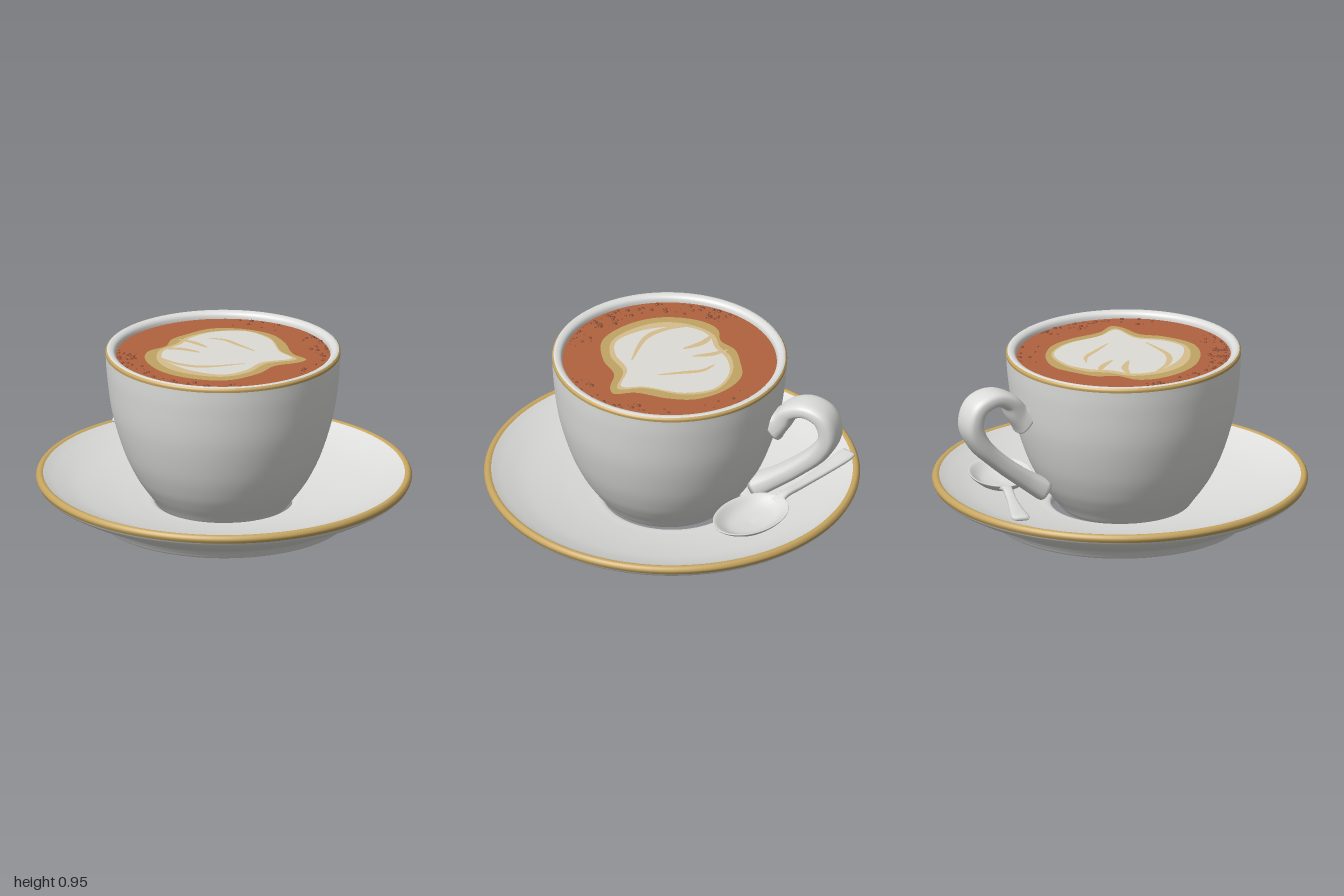
import * as THREE from 'three';
import { mergeGeometries } from 'three/addons/utils/BufferGeometryUtils.js';

const mat = (name, color) => Object.assign(new THREE.MeshStandardMaterial({ color }), { name });

// Smooth curve through [radius, y] points, turned about the y axis
function turned(points, divisions = 40) {
  const curve = new THREE.SplineCurve(points.map(([x, y]) => new THREE.Vector2(x, y)));
  return new THREE.LatheGeometry(curve.getPoints(divisions), 96);
}

// Rounded bar swept along [z, y, halfWidth, halfThickness] stations
function sweep(stations, steps = 60, sides = 24) {
  const path = new THREE.CatmullRomCurve3(stations.map(([z, y]) => new THREE.Vector3(0, y, z)));
  const size = new THREE.CatmullRomCurve3(stations.map(([, , w, t]) => new THREE.Vector3(w, t, 0)));
  const across = new THREE.Vector3(1, 0, 0);
  const pos = [], idx = [];
  const soft = (v) => Math.sign(v) * Math.abs(v) ** 0.7;
  for (let i = 0; i <= steps; i++) {
    const u = i / steps, p = path.getPoint(u), s = size.getPoint(u);
    const n = across.clone().cross(path.getTangent(u));
    for (let k = 0; k < sides; k++) {
      const a = (k / sides) * Math.PI * 2;
      const q = p.clone().addScaledVector(across, s.x * soft(Math.cos(a))).addScaledVector(n, s.y * soft(Math.sin(a)));
      pos.push(q.x, q.y, q.z);
    }
  }
  const last = steps * sides, c0 = (steps + 1) * sides;
  for (const u of [0, 1]) pos.push(...path.getPoint(u).toArray());
  for (let k = 0; k < sides; k++) {
    const k1 = (k + 1) % sides;
    for (let i = 0; i < steps; i++) {
      const a = i * sides + k, b = i * sides + k1;
      idx.push(a, a + sides, b, b, a + sides, b + sides);
    }
    idx.push(c0, k, k1, c0 + 1, last + k1, last + k);
  }
  const g = new THREE.BufferGeometry();
  g.setAttribute('position', new THREE.Float32BufferAttribute(pos, 3));
  g.setIndex(idx);
  g.computeVertexNormals();
  return g;
}

// Flat horizontal plate with a smooth closed outline of [x, z] points
function plate(points) {
  const c = new THREE.CatmullRomCurve3(points.map(([x, z]) => new THREE.Vector3(x, -z, 0)), true);
  const outline = c.getPoints(120).slice(0, -1).map((p) => new THREE.Vector2(p.x, p.y));
  return new THREE.ShapeGeometry(new THREE.Shape(outline)).rotateX(-Math.PI / 2);
}

// Flat stroke along [x, z] points, tapering to both ends
function stroke(points, halfWidth) {
  const c = new THREE.SplineCurve(points.map(([x, z]) => new THREE.Vector2(x, -z)));
  const left = [], right = [];
  for (let i = 0; i <= 24; i++) {
    const u = i / 24, p = c.getPoint(u), t = c.getTangent(u);
    const w = halfWidth * (0.2 + 0.8 * Math.sin(u * Math.PI));
    left.push(new THREE.Vector2(p.x - t.y * w, p.y + t.x * w));
    right.unshift(new THREE.Vector2(p.x + t.y * w, p.y - t.x * w));
  }
  return new THREE.ShapeGeometry(new THREE.Shape([...left, ...right])).rotateX(-Math.PI / 2);
}

export function createModel() {
  const ceramic = mat('ceramic', 0xdcdcda);
  const gold = mat('gold', 0xc6a560);
  const coffee = mat('coffee', 0xb0623f);
  const bubble = mat('bubble', 0x8a4c33);
  const ochre = mat('ochre foam', 0xc0a463);
  const beige = mat('beige foam', 0xd6bd8c);
  const milk = mat('milk foam', 0xdddbd6);

  const model = new THREE.Group();
  const add = (parent, name, geometry, material, y = 0) => {
    const m = new THREE.Mesh(geometry, material);
    m.name = name;
    m.position.y = y;
    parent.add(m);
    return m;
  };
  const group = (name) => {
    const g = new THREE.Group();
    g.name = name;
    model.add(g);
    return g;
  };

  // Saucer with a foot ring and an open well in the middle
  const saucer = group('saucer');
  add(saucer, 'saucerUnderside', turned([[0.36, 0.06], [0.37, 0.04], [0.4, 0.025], [0.45, 0.018], [0.62, 0.015],
    [0.64, 0.003], [0.665, 0.003], [0.685, 0.03], [0.71, 0.057], [0.78, 0.09], [0.9, 0.145], [0.97, 0.185], [0.987, 0.205]], 70), ceramic);
  add(saucer, 'saucerGoldRim', turned([[0.987, 0.205], [0.995, 0.225], [0.985, 0.243], [0.97, 0.247], [0.957, 0.242]], 16), gold);
  add(saucer, 'saucerTop', turned([[0.957, 0.242], [0.9, 0.215], [0.78, 0.172], [0.6, 0.13], [0.45, 0.105],
    [0.385, 0.097], [0.365, 0.085], [0.36, 0.06]]), ceramic);

  // Cup, leaning very slightly back
  const cup = group('cup');
  cup.position.set(-0.008, 0, 0.027);
  cup.rotation.x = -0.011;
  add(cup, 'cupBase', new THREE.CircleGeometry(0.335, 96).rotateX(Math.PI / 2), ceramic, 0.075);
  add(cup, 'cupBody', turned([[0.335, 0.075], [0.35, 0.09], [0.375, 0.125], [0.42, 0.185], [0.47, 0.265], [0.53, 0.4],
    [0.587, 0.6], [0.614, 0.8], [0.621, 0.918]], 50), ceramic);
  add(cup, 'cupGoldRim', turned([[0.621, 0.918], [0.622, 0.932], [0.614, 0.942]], 10), gold);
  add(cup, 'cupLip', turned([[0.614, 0.942], [0.6, 0.945], [0.58, 0.938], [0.569, 0.92], [0.566, 0.88]], 20), ceramic);

  // Looped handle at the back
  const handle = add(cup, 'cupHandle', sweep([
    [-0.57, 0.66, 0.085, 0.09], [-0.625, 0.705, 0.075, 0.06], [-0.675, 0.775, 0.08, 0.045], [-0.77, 0.812, 0.086, 0.044],
    [-0.865, 0.775, 0.088, 0.05], [-0.897, 0.675, 0.086, 0.054], [-0.85, 0.565, 0.082, 0.052], [-0.74, 0.45, 0.076, 0.048],
    [-0.6, 0.335, 0.075, 0.05], [-0.48, 0.25, 0.085, 0.06]]), ceramic);
  handle.position.set(-0.006, 0, -0.02);

  // Coffee surface
  const drink = group('drink');
  drink.position.set(-0.006, 0.908, 0.016);
  drink.rotation.x = -0.011;
  add(drink, 'coffeeSurface', new THREE.CircleGeometry(0.569, 96).rotateX(-Math.PI / 2), coffee);

  // Leaf-shaped foam pattern in thin layers
  add(drink, 'foamBorder', plate([[0, -0.41], [0.16, -0.38], [0.3, -0.27], [0.35, -0.13], [0.365, 0.05], [0.42, 0.15],
    [0.37, 0.19], [0.24, 0.22], [0.14, 0.32], [-0.04, 0.4], [-0.23, 0.34], [-0.37, 0.2], [-0.42, 0], [-0.38, -0.12],
    [-0.28, -0.18], [-0.23, -0.28], [-0.13, -0.35]]), ochre, 0.003);
  add(drink, 'foamHalo', plate([[0, -0.355], [0.18, -0.335], [0.285, -0.2], [0.31, 0.02], [0.37, 0.145], [0.2, 0.185],
    [0.09, 0.3], [-0.05, 0.35], [-0.21, 0.29], [-0.32, 0.18], [-0.36, 0.03], [-0.32, -0.12], [-0.22, -0.2], [-0.15, -0.29]]), beige, 0.006);
  add(drink, 'foamLeaf', plate([[0, -0.34], [0.17, -0.325], [0.275, -0.19], [0.3, 0.02], [0.345, 0.135], [0.18, 0.17],
    [0.07, 0.28], [-0.05, 0.325], [-0.18, 0.26], [-0.27, 0.16], [-0.33, 0.01], [-0.3, -0.1], [-0.2, -0.18], [-0.13, -0.27]]), milk, 0.009);
  const strokes = [
    [[[-0.04, -0.24], [0.04, -0.2], [0.1, -0.11], [0.17, 0]], 0.013],
    [[[-0.2, -0.25], [-0.13, -0.19], [-0.07, -0.1]], 0.016],
    [[[-0.3, -0.12], [-0.21, -0.1], [-0.12, -0.03]], 0.018],
    [[[-0.34, 0.02], [-0.26, 0.13], [-0.13, 0.195], [0.09, 0.18]], 0.016],
  ];
  strokes.forEach(([pts, w], i) => add(drink, 'foamStroke' + (i + 1), stroke(pts, w), beige, 0.012));

  // Small bubbles gathered along the edge of the coffee
  let seed = 7;
  const rnd = () => (seed = (seed * 16807) % 2147483647) / 2147483647;
  const bubbles = [];
  for (let i = 0; i < 130; i++) {
    const a = i % 3 ? 1.45 + rnd() * 2 : -1.3 + rnd() * 2.2;
    const r = 0.555 - 0.1 * rnd() ** 2, s = 0.004 + 0.009 * rnd() ** 2;
    bubbles.push(new THREE.SphereGeometry(s, 10, 6).scale(1, 0.5, 1).translate(r * Math.cos(a), 0.001, r * Math.sin(a)));
  }
  add(drink, 'bubbles', mergeGeometries(bubbles), bubble);

  // Spoon resting on the back of the saucer
  const spoon = group('spoon');
  spoon.position.set(0.285, 0.25, -0.565);
  spoon.rotation.y = 1.23;
  add(spoon, 'spoonBowl', turned([[0.0001, -0.07], [0.09, -0.056], [0.145, -0.02], [0.168, 0.004], [0.158, 0.006],
    [0.1, -0.034], [0.0001, -0.05]]).scale(1, 1, 1.4), ceramic);
  add(spoon, 'spoonHandle', sweep([[-0.2, -0.012, 0.04, 0.012], [-0.27, 0.004, 0.026, 0.015], [-0.4, 0, 0.026, 0.014],
    [-0.6, 0.005, 0.037, 0.014], [-0.74, 0.016, 0.048, 0.014], [-0.785, 0.02, 0.042, 0.011]], 30, 16), ceramic);

  return model;
}
